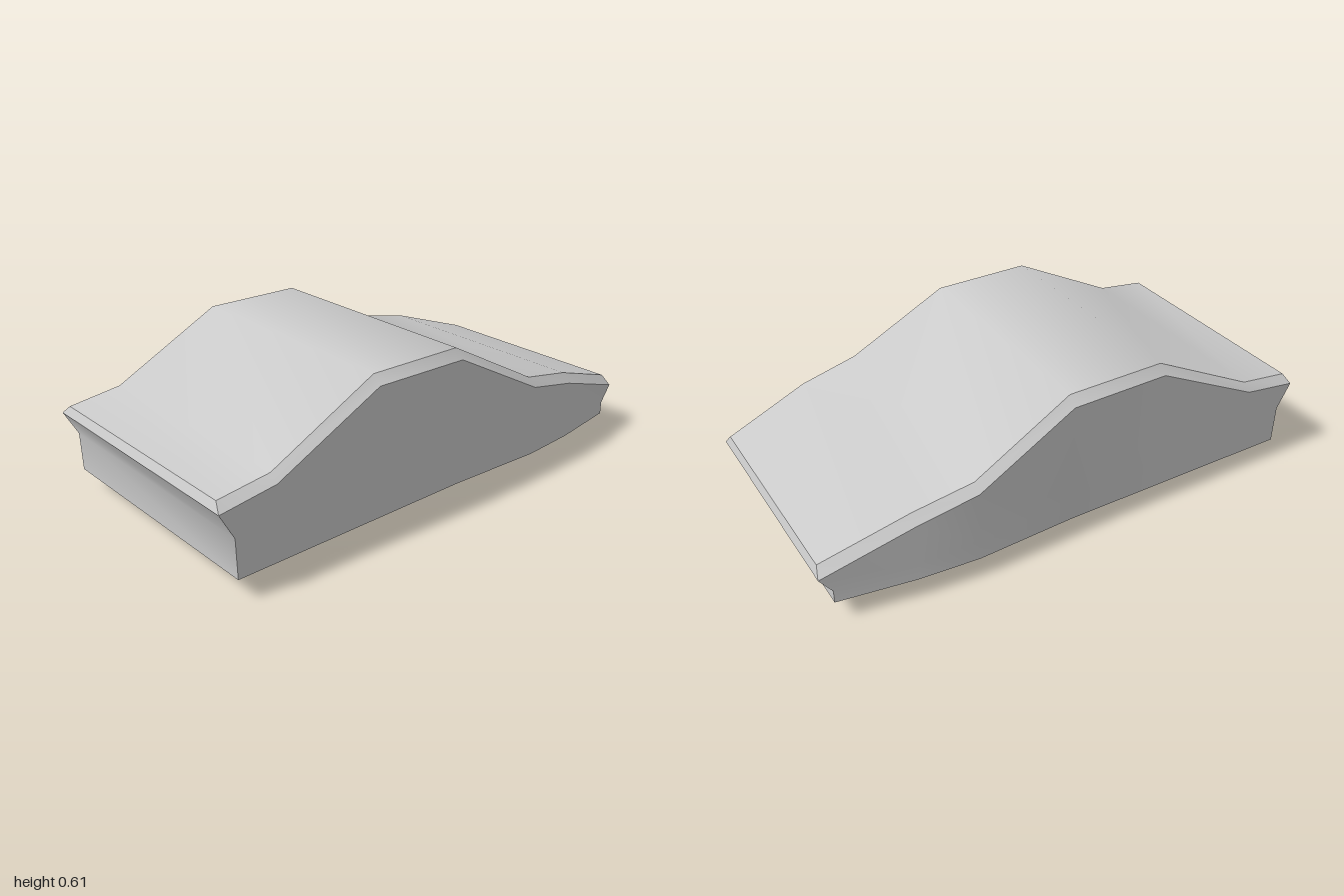
import * as THREE from 'three';
import { toCreasedNormals } from 'three/addons/utils/BufferGeometryUtils.js';

// Stations from front to back: z, half width, shoulder height, top height
const stations = [
  [1, 0.505, 0.33, 0.362],
  [0.78, 0.505, 0.36, 0.388],
  [0.35, 0.505, 0.572, 0.606],
  [-0.04, 0.505, 0.566, 0.602],
  [-0.43, 0.522, 0.36, 0.392],
  [-0.66, 0.505, 0.31, 0.345],
  [-1, 0.46, 0.197, 0.235],
];

const clamp = THREE.MathUtils.clamp;
const sillZ = (z) => clamp(z, -0.953, 0.942);

// Each level gives the left-hand point of a station, listed from top to bottom
const levels = {
  top: ([z, w, , t]) => [w - 0.034, t, clamp(z, -0.988, 0.985)],
  shoulder: ([z, w, s]) => [w, s, z],
  waist: ([z, w]) => [w, 0.18 + 0.05 * z, sillZ(z) + (z === 1 ? 0.004 : 0)],
  sill: ([z, w]) => [w, 0.08, sillZ(z)],
  tuck: ([z, w]) => [w * 0.83, 0.03, sillZ(z) * 0.885],
  floor: ([z]) => [0.4, 0, sillZ(z) * 0.827],
};

// Walks down the left side and back up the mirrored right side
function ring(level) {
  const left = stations.map(level);
  const right = left.map(([x, y, z]) => [-x, y, z]).reverse();
  return [...left, ...right];
}

function shell(name, names, material, capTop, capBottom) {
  const rings = names.map((n) => ring(levels[n]));
  const count = rings[0].length;
  const pos = [];
  const quad = (a, b, c, d) => pos.push(...a, ...b, ...c, ...a, ...c, ...d);

  // Walls between neighbouring rings
  for (let l = 0; l < rings.length - 1; l++) {
    for (let i = 0; i < count; i++) {
      const j = (i + 1) % count;
      quad(rings[l][i], rings[l + 1][i], rings[l + 1][j], rings[l][j]);
    }
  }
  // Caps bridging left to right
  const first = rings[0];
  const last = rings[rings.length - 1];
  for (let i = 0; i < stations.length - 1; i++) {
    const k = count - 1 - i;
    if (capTop) quad(first[i], first[i + 1], first[k - 1], first[k]);
    if (capBottom) quad(last[k], last[k - 1], last[i + 1], last[i]);
  }
  const geometry = new THREE.BufferGeometry();
  geometry.setAttribute('position', new THREE.Float32BufferAttribute(pos, 3));
  const mesh = new THREE.Mesh(toCreasedNormals(geometry, 0.6), material);
  mesh.name = name;
  return mesh;
}

export function createModel() {
  const group = new THREE.Group();
  group.name = 'carBody';
  const grey = new THREE.MeshStandardMaterial({ color: 0xcccccc, side: THREE.DoubleSide });

  // Roof, bevelled shoulders, sides and undercut ends
  group.add(shell('bodyShell', ['top', 'shoulder', 'waist', 'sill'], grey, true, false));
  // Sloped lower skirt
  group.add(shell('lowerSkirt', ['sill', 'tuck'], grey, false, false));
  // Flat floor pan with slanted rim
  group.add(shell('floorPan', ['tuck', 'floor'], grey, false, true));
  return group;
}
